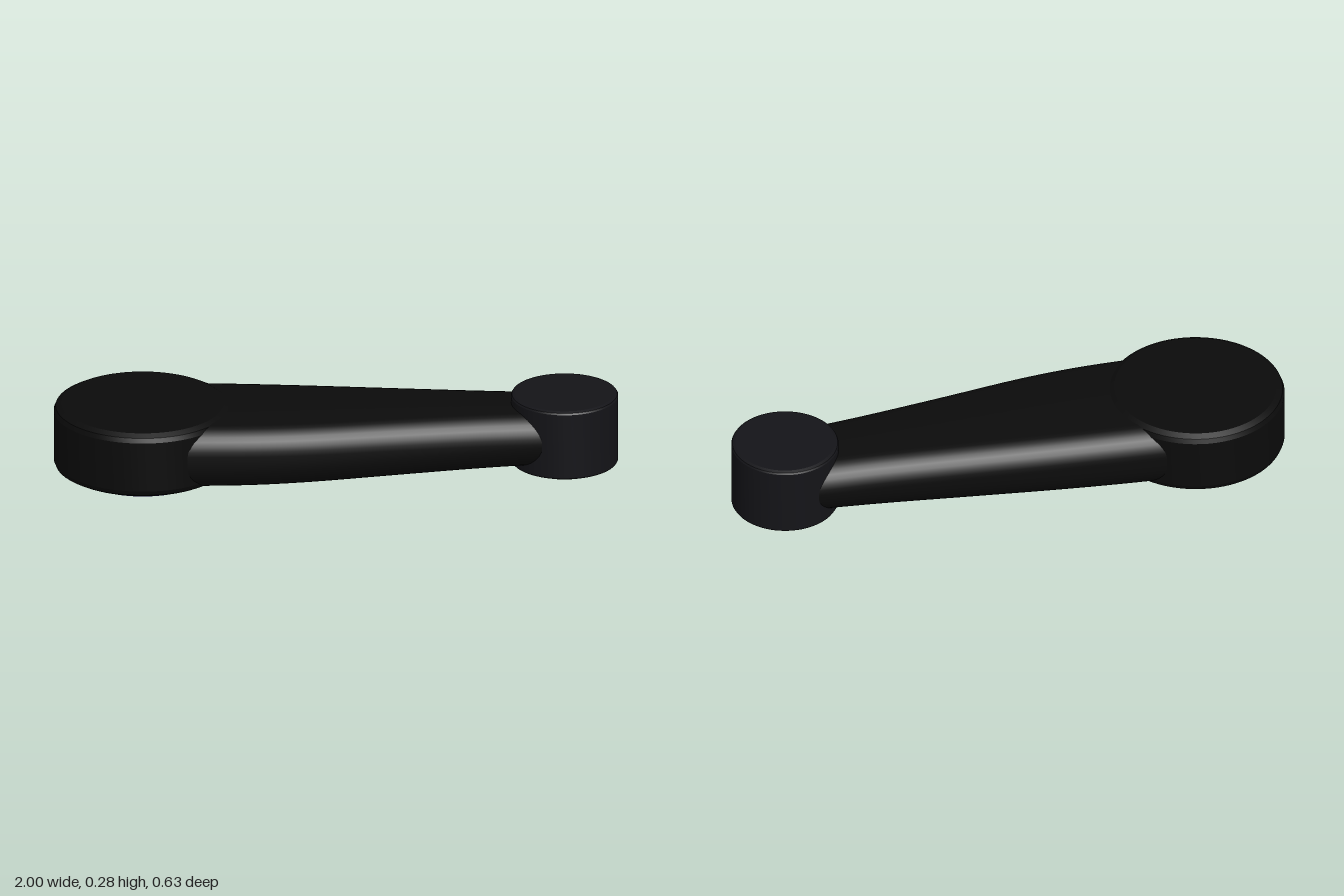
import * as THREE from 'three';
import { toCreasedNormals } from 'three/addons/utils/BufferGeometryUtils.js';

const HUB_X = -0.685, TIP_X = 0.81;
const black = new THREE.MeshStandardMaterial({ color: 0x0b0b0b });
const charcoal = new THREE.MeshStandardMaterial({ color: 0x141418 });
const purple = new THREE.MeshStandardMaterial({ color: 0x4a20b5 });

// Round part turned from a [radius, y] profile that runs from bottom to top
function turned(name, profile, x, material) {
  const points = profile.map(([r, y]) => new THREE.Vector2(r, y));
  const geometry = toCreasedNormals(new THREE.LatheGeometry(points, 72), 0.35);
  const mesh = new THREE.Mesh(geometry, material);
  mesh.name = name;
  mesh.position.x = x;
  return mesh;
}

// Solid disc with bevelled rims
function bevelledDisc(name, radius, y0, y1, bevelR, bevelY, x, material) {
  return turned(name, [
    [0, y0], [radius - bevelR, y0], [radius - bevelR * 0.25, y0 + bevelY * 0.4], [radius, y0 + bevelY],
    [radius, y1 - bevelY], [radius - bevelR * 0.25, y1 - bevelY * 0.4], [radius - bevelR, y1], [0, y1],
  ], x, material);
}

// Tapered arm: rounded-rectangle sections lofted along x
function armGeometry() {
  // x, back edge z, front edge z, bottom y, top y
  const sections = [
    [-0.7, -0.272, 0.272, 0.032, 0.262],
    [-0.5, -0.265, 0.28, 0.032, 0.262],
    [-0.3, -0.252, 0.28, 0.032, 0.26],
    [-0.1, -0.237, 0.266, 0.034, 0.257],
    [0.2, -0.211, 0.226, 0.038, 0.252],
    [0.5, -0.186, 0.189, 0.043, 0.247],
    [0.72, -0.172, 0.169, 0.046, 0.243],
    [0.8, -0.165, 0.16, 0.046, 0.243],
  ];
  const curve = new THREE.CatmullRomCurve3(sections.map(([x, b, f]) => new THREE.Vector3(x, b, f)));
  const heights = new THREE.CatmullRomCurve3(sections.map(([x, , , lo, hi]) => new THREE.Vector3(x, lo, hi)));
  const steps = 28, cornerSteps = 8, ring = 4 * (cornerSteps + 1);
  const position = [], index = [];
  for (let i = 0; i <= steps; i++) {
    const { x, y: back, z: front } = curve.getPoint(i / steps);
    const { y: low, z: high } = heights.getPoint(i / steps);
    const r = 0.092;
    for (let c = 0; c < 4; c++) {
      const cz = c === 0 || c === 3 ? front - r : back + r;
      const cy = c < 2 ? high - r : low + r;
      for (let k = 0; k <= cornerSteps; k++) {
        const a = (c + k / cornerSteps) * Math.PI / 2;
        position.push(x, cy + r * Math.sin(a), cz + r * Math.cos(a));
      }
    }
  }
  for (let i = 0; i < steps; i++) {
    for (let j = 0; j < ring; j++) {
      const a = i * ring + j, b = i * ring + (j + 1) % ring;
      index.push(a, a + ring, b, b, a + ring, b + ring);
    }
  }
  // End caps
  const last = steps * ring;
  for (let j = 1; j < ring - 1; j++) {
    index.push(0, j, j + 1, last, last + j + 1, last + j);
  }
  const geometry = new THREE.BufferGeometry();
  geometry.setAttribute('position', new THREE.Float32BufferAttribute(position, 3));
  geometry.setIndex(index);
  return toCreasedNormals(geometry, 0.6);
}

// Light strip: a long bar whose lower face is narrowed
function stripGeometry() {
  const geometry = new THREE.BoxGeometry(0.9, 0.022, 0.044).toNonIndexed();
  const p = geometry.attributes.position;
  for (let i = 0; i < p.count; i++) {
    if (p.getY(i) < 0) {
      p.setZ(i, p.getZ(i) * 0.7);
      p.setX(i, p.getX(i) * 0.99);
    }
  }
  geometry.computeVertexNormals();
  return geometry;
}

export function createModel() {
  const model = new THREE.Group();
  model.name = 'swingArm';

  const arm = new THREE.Mesh(armGeometry(), black);
  arm.name = 'arm';
  model.add(arm);

  // Large hub with a glowing ring and centre cap underneath
  model.add(bevelledDisc('hub', 0.315, 0.03, 0.27, 0.027, 0.028, HUB_X, black));
  model.add(turned('hubLightRing', [
    [0.216, 0.032], [0.216, 0.022], [0.223, 0.01], [0.243, 0.01], [0.25, 0.024], [0.247, 0.032],
  ], HUB_X, purple));
  model.add(turned('hubCentreCap', [[0, 0.022], [0.145, 0.022], [0.15, 0.032]], HUB_X, black));

  // Small end cylinder with its foot
  model.add(bevelledDisc('endCylinder', 0.19, 0.02, 0.28, 0.014, 0.01, TIP_X, charcoal));
  model.add(turned('endFoot', [[0, 0], [0.13, 0], [0.13, 0.022]], TIP_X, black));

  // Light strip under the arm
  const strip = new THREE.Mesh(stripGeometry(), purple);
  strip.name = 'lightStrip';
  strip.position.set(0, 0.028, 0);
  strip.rotation.z = 0.0155;
  model.add(strip);

  return model;
}
